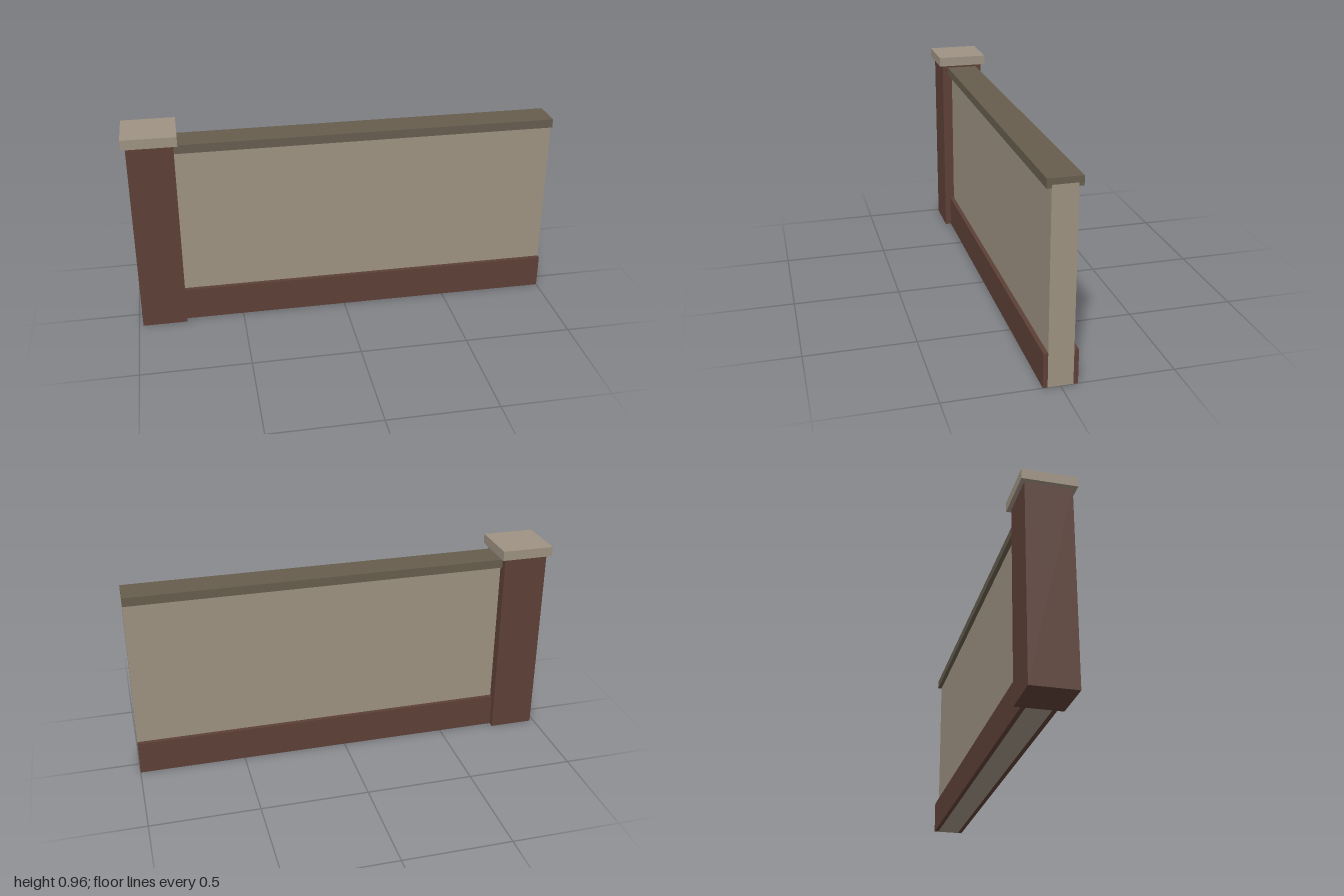
import * as THREE from 'three';

const material = (name, color) => {
  const m = new THREE.MeshStandardMaterial({ color });
  m.name = name;
  return m;
};

export function createModel() {
  const brown = material('brownBrick', 0x5d4037);
  const stone = material('paleStone', 0x9e9282);
  const dark = material('darkCoping', 0x665d4e);
  const wall = new THREE.Group();
  wall.name = 'wallSection';

  // Box given by its minimum and maximum corners
  const box = (name, mat, [x0, y0, z0], [x1, y1, z1]) => {
    const mesh = new THREE.Mesh(new THREE.BoxGeometry(x1 - x0, y1 - y0, z1 - z0), mat);
    mesh.position.set((x0 + x1) / 2, (y0 + y1) / 2, (z0 + z1) / 2);
    mesh.name = name;
    wall.add(mesh);
  };

  const start = -0.772, end = 1; // wall run, from the post face to the open end
  const half = 0.055, outer = 0.075; // half depths of panel and trim
  const panelTop = 0.877;

  // Pillar and its cap slab
  box('post', brown, [-0.981, 0, -0.104], [start, 0.917, 0.104]);
  box('postCap', stone, [-1, 0.917, -0.122], [-0.754, 0.963, 0.122]);

  // Wall panel with a plinth board on each face
  box('panel', stone, [start, 0, -half], [end, panelTop, half]);
  box('frontPlinth', brown, [start, 0, half], [end, 0.158, outer]);
  box('backPlinth', brown, [start, 0, -outer], [end, 0.158, -half]);

  // Coping: a channel section that laps over the top of the panel
  const section = new THREE.Shape([
    [-outer, 0.863], [-half, 0.863], [-half, panelTop], [half, panelTop],
    [half, 0.863], [outer, 0.863], [outer, 0.904], [-outer, 0.904],
  ].map(([z, y]) => new THREE.Vector2(z, y)));
  const geometry = new THREE.ExtrudeGeometry(section, { depth: end - start, bevelEnabled: false });
  geometry.rotateY(Math.PI / 2);
  const coping = new THREE.Mesh(geometry, dark);
  coping.position.x = start;
  coping.name = 'coping';
  wall.add(coping);

  return wall;
}
